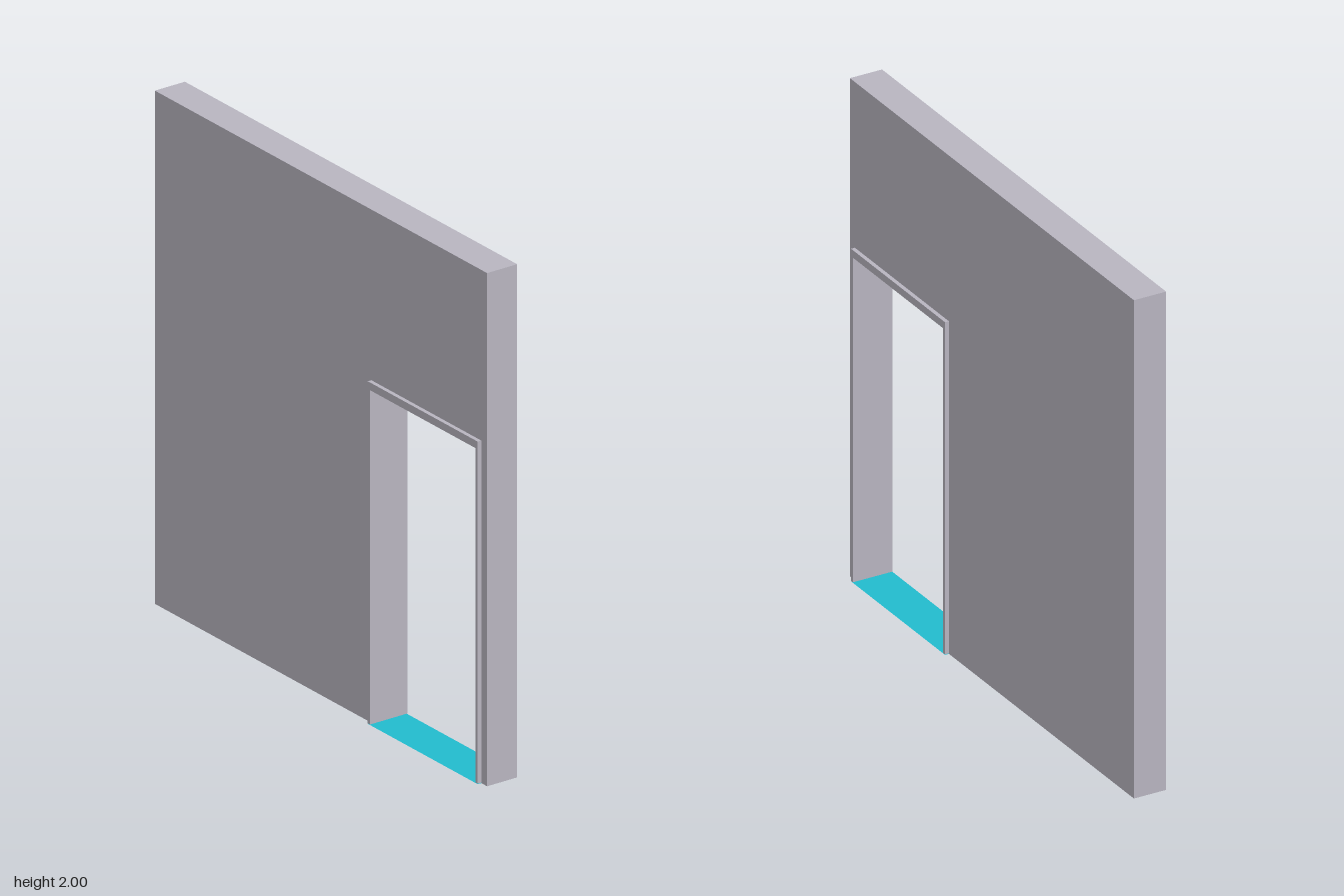
import * as THREE from 'three';

const outer = { back: 0.303, front: 0.965, top: 1.335 };  // outside of the door frame
const inner = { back: 0.317, front: 0.952, top: 1.305 };  // clear opening
const base = 0.002;

// Doorway-shaped slab: a rectangle with a notch open at the floor, thick along x
function archSlab(name, edge, hole, bottom, thickness, material) {
  const s = new THREE.Shape();
  s.moveTo(edge.back, bottom);
  s.lineTo(hole.back, bottom);
  s.lineTo(hole.back, hole.top);
  s.lineTo(hole.front, hole.top);
  s.lineTo(hole.front, bottom);
  s.lineTo(edge.front, bottom);
  s.lineTo(edge.front, edge.top);
  s.lineTo(edge.back, edge.top);
  s.closePath();
  const geo = new THREE.ExtrudeGeometry(s, { depth: thickness, bevelEnabled: false });
  geo.translate(0, 0, -thickness / 2);
  geo.rotateY(-Math.PI / 2);
  const mesh = new THREE.Mesh(geo, material);
  mesh.name = name;
  return mesh;
}

export function createModel() {
  const group = new THREE.Group();
  group.name = 'wallWithDoorway';

  const plaster = new THREE.MeshStandardMaterial({ color: 0xb8b5c0 });
  plaster.name = 'pale grey plaster';
  const cyan = new THREE.MeshStandardMaterial({ color: 0x22bbcd, side: THREE.DoubleSide });
  cyan.name = 'cyan threshold';

  // Wall with the doorway near its front end
  group.add(archSlab('wall', { back: -1, front: 1, top: 2 }, outer, 0, 0.133, plaster));

  // Door frame standing slightly proud of both wall faces
  group.add(archSlab('doorFrame', outer, inner, base, 0.165, plaster));

  // Flat threshold on the floor under the frame
  const plate = new THREE.PlaneGeometry(0.165, outer.front - outer.back);
  plate.rotateX(-Math.PI / 2);
  const threshold = new THREE.Mesh(plate, cyan);
  threshold.name = 'threshold';
  threshold.position.z = (outer.front + outer.back) / 2;
  group.add(threshold);

  return group;
}
